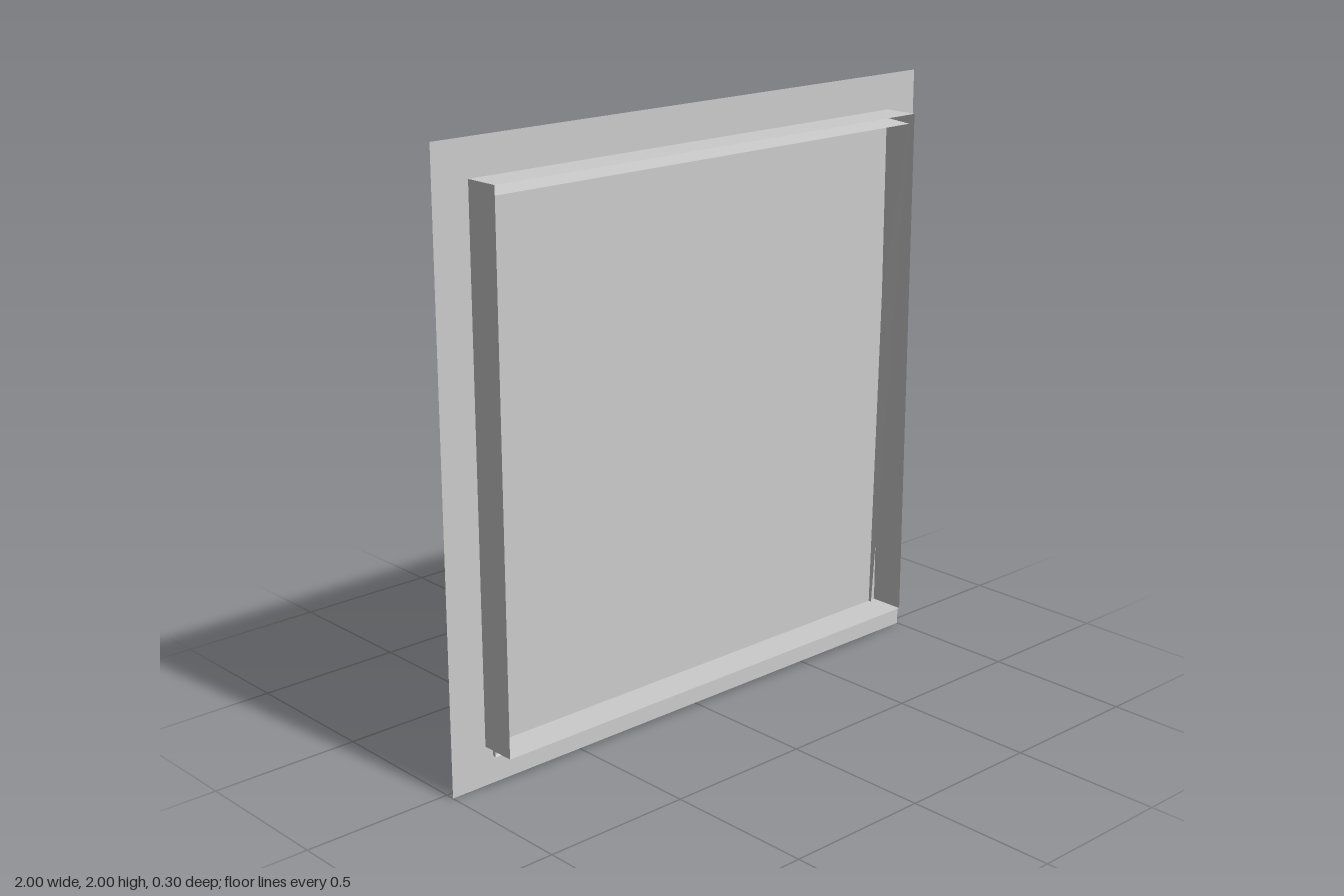
import * as THREE from 'three';

const material = new THREE.MeshStandardMaterial({
  color: 0xcccccc, flatShading: true, side: THREE.DoubleSide,
});

// Four corners, counter-clockwise from the front: bottom left, bottom right, top right, top left
const rect = (halfBottom, halfTop, yBottom, yTop, zBottom, zTop) => [
  [-halfBottom, yBottom, zBottom], [halfBottom, yBottom, zBottom],
  [halfTop, yTop, zTop], [-halfTop, yTop, zTop],
];

// Walls between a back and a front rectangle, with optional end faces
function loft(name, back, front, { capBack = false, capFront = false } = {}) {
  const points = [];
  const quad = (a, b, c, d) => points.push(...a, ...b, ...c, ...a, ...c, ...d);
  for (let i = 0; i < 4; i++) {
    const j = (i + 1) % 4;
    quad(back[i], back[j], front[j], front[i]);
  }
  if (capFront) quad(...front);
  if (capBack) quad(...[...back].reverse());
  const geometry = new THREE.BufferGeometry();
  geometry.setAttribute('position', new THREE.Float32BufferAttribute(points, 3));
  geometry.computeVertexNormals();
  const mesh = new THREE.Mesh(geometry, material);
  mesh.name = name;
  return mesh;
}

export function createModel() {
  const group = new THREE.Group();
  group.name = 'framedPanel';

  // Square flange: flat in front, bevelled towards the back
  group.add(loft('flange',
    rect(0.87, 0.87, 0.12, 1.88, -0.02, -0.02),
    rect(1, 1, 0, 2, 0.03, 0.03),
    { capBack: true, capFront: true }));

  // Thin raised collar, open in front
  group.add(loft('frontCollar',
    rect(0.872, 0.872, 0.13, 1.88, 0.03, 0.03),
    rect(0.872, 0.872, 0.13, 1.88, 0.15, 0.15)));

  // Tilted pan through the flange, deepest at the bottom, open in front
  group.add(loft('tiltedPan',
    rect(0.87, 0.87, 0.155, 1.86, -0.152, -0.06),
    rect(0.842, 0.87, 0.087, 1.845, 0.04, 0.13),
    { capBack: true }));

  return group;
}
